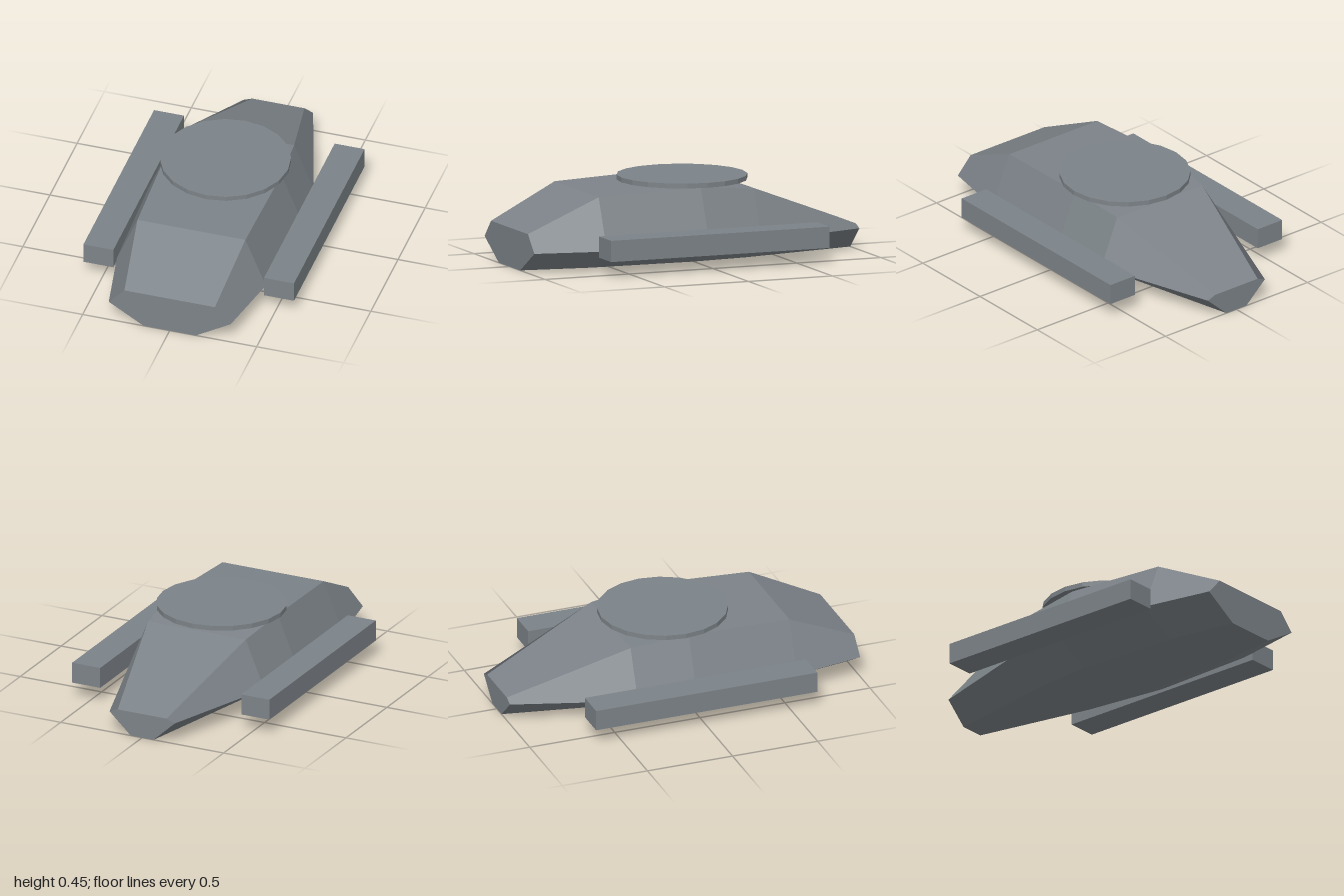
import * as THREE from 'three';

const material = new THREE.MeshStandardMaterial({ color: 0x7c8388 });

// Hull stations, front to back: [z, bottom half width, waist half width, top half width, top height]
const WAIST = 0.12;
const STATIONS = [
  [1, 0.15, 0.35, 0.26, 0.217],
  [0.6, 0.21, 0.428, 0.31, 0.405],
  [0, 0.23, 0.455, 0.33, 0.428],
  [-0.33, 0.2, 0.413, 0.3, 0.393],
  [-1, 0.07, 0.2, 0.15, 0.14],
];

// Six-sided ring, counter-clockwise seen from the front
const ring = ([z, b, w, t, top]) => [
  [-b, 0, z], [b, 0, z], [w, WAIST, z], [t, top, z], [-t, top, z], [-w, WAIST, z],
].map((p) => new THREE.Vector3(...p));

function hullGeometry() {
  const rings = STATIONS.map(ring);
  const pos = [], nor = [];
  const tri = (n, ...corners) => corners.forEach((p) => {
    pos.push(p.x, p.y, p.z);
    nor.push(n.x, n.y, n.z);
  });
  // Panels between neighbouring rings: one normal each, split along the outward diagonal
  for (let s = 0; s < rings.length - 1; s++) {
    const f = rings[s], r = rings[s + 1];
    const widens = STATIONS[s][2] < STATIONS[s + 1][2];
    for (let i = 0; i < 6; i++) {
      const j = (i + 1) % 6;
      const n = r[j].clone().sub(f[i]).cross(f[j].clone().sub(r[i])).normalize();
      if (widens === (i < 3)) {
        tri(n, f[i], r[i], r[j]);
        tri(n, f[i], r[j], f[j]);
      } else {
        tri(n, f[i], r[i], f[j]);
        tri(n, r[i], r[j], f[j]);
      }
    }
  }
  // Flat nose and tail
  const nose = rings[0], tail = rings[rings.length - 1];
  const front = new THREE.Vector3(0, 0, 1), back = new THREE.Vector3(0, 0, -1);
  for (let i = 1; i < 5; i++) {
    tri(front, nose[0], nose[i], nose[i + 1]);
    tri(back, tail[0], tail[i + 1], tail[i]);
  }
  const g = new THREE.BufferGeometry();
  g.setAttribute('position', new THREE.Float32BufferAttribute(pos, 3));
  g.setAttribute('normal', new THREE.Float32BufferAttribute(nor, 3));
  return g;
}

// Disc with flat rim facets
function discGeometry() {
  const g = new THREE.CylinderGeometry(0.36, 0.36, 0.027, 20).toNonIndexed();
  g.computeVertexNormals();
  return g;
}

export function createModel() {
  const model = new THREE.Group();
  const add = (name, geometry, x, y, z) => {
    const mesh = new THREE.Mesh(geometry, material);
    mesh.name = name;
    mesh.position.set(x, y, z);
    model.add(mesh);
  };

  add('hull', hullGeometry(), 0, 0, 0);

  // Thin disc resting on the roof
  add('roofDisc', discGeometry(), 0, 0.44, -0.027);

  // Long side pods
  for (const side of [1, -1]) {
    add(side > 0 ? 'leftPod' : 'rightPod', new THREE.BoxGeometry(0.172, 0.118, 1.3), side * 0.519, 0.149, 0);
  }
  return model;
}
